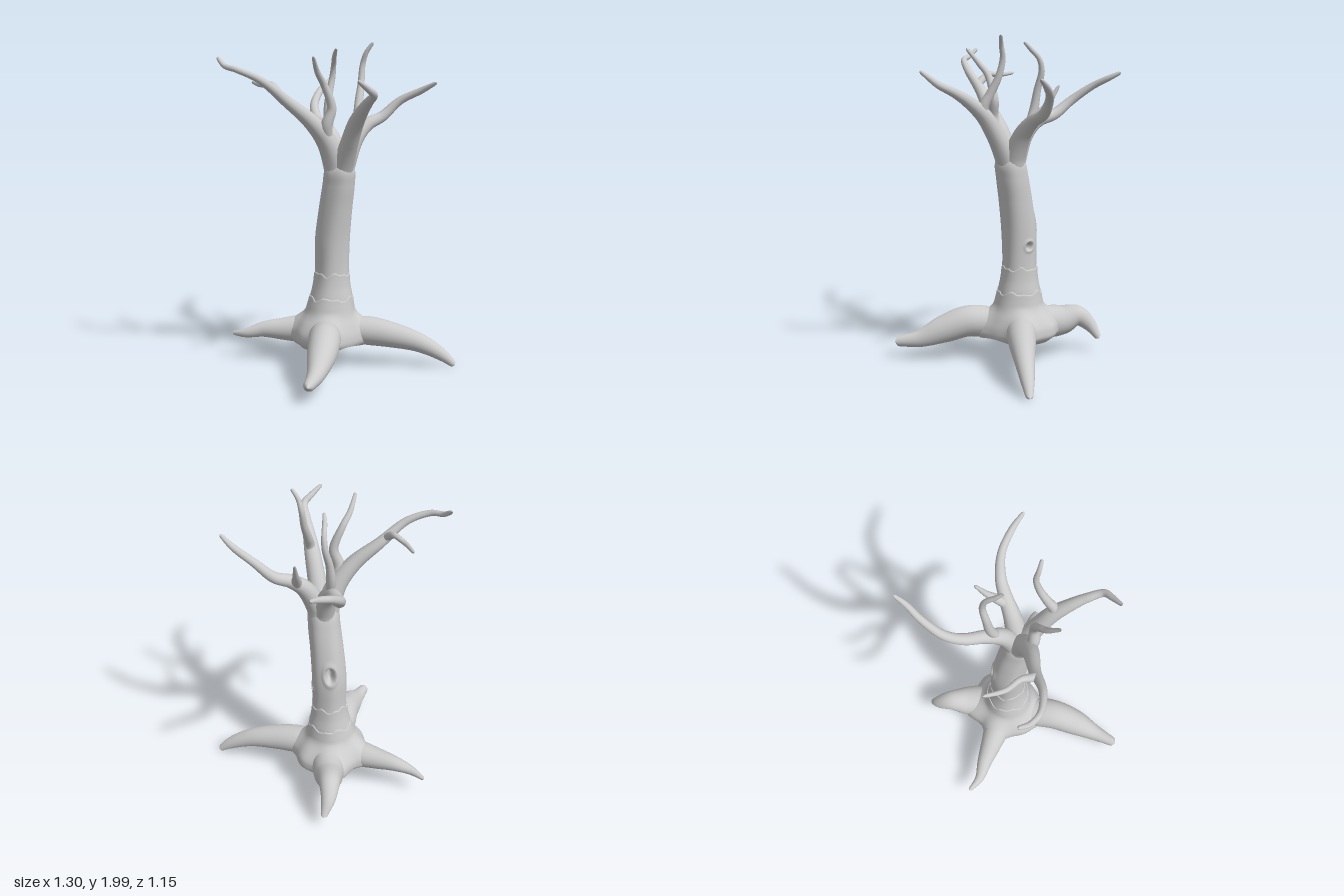
import * as THREE from 'three';

const material = new THREE.MeshStandardMaterial({ color: 0xcccccc, side: THREE.DoubleSide });
const V = (p) => new THREE.Vector3(p[0], p[1], p[2]);
const { smoothstep, clamp } = THREE.MathUtils;

// Trunk stations: height, centre x, centre z, radius
const STATIONS = [
  [0.135, 0.0, -0.03, 0.175], [0.17, 0.0, -0.035, 0.198], [0.22, 0.0, -0.038, 0.2], [0.28, 0.004, -0.038, 0.18],
  [0.34, 0.01, -0.036, 0.152], [0.4, 0.014, -0.035, 0.137], [0.45, 0.018, -0.034, 0.127],
  [0.52, 0.02, -0.034, 0.113], [0.6, 0.022, -0.034, 0.106], [0.8, 0.022, -0.03, 0.107],
  [1.0, 0.025, 0.0, 0.102], [1.15, 0.028, 0.03, 0.098], [1.24, 0.026, 0.045, 0.092], [1.32, 0.024, 0.045, 0.06],
];
const trunkShape = new THREE.CubicInterpolant(
  STATIONS.map((s) => s[0]), new Float32Array(STATIONS.flatMap((s) => s.slice(1))), 3);

const angleBetween = (a, b) => Math.atan2(Math.sin(a - b), Math.cos(a - b));
const bump = (angle, centre, spread) => Math.exp(-((angleBetween(angle, centre) / spread) ** 2));

// Knot holes: angle round the trunk, height, half width, half height
const KNOTS = [[0.1, 0.735, 0.024, 0.028], [-1.31, 0.865, 0.034, 0.06]];

// Sinks each hollow into the bark and raises a soft rim round it
function knotOffset(angle, y, radius) {
  let offset = 0;
  for (const [a, ky, w, h] of KNOTS) {
    const d = Math.hypot((angleBetween(angle, a) * radius) / w, (y - ky) / h);
    offset += 0.006 * Math.exp(-((d - 1.15) ** 2) * 9);
    offset -= 0.045 * (1 - smoothstep(d, 0.45, 1));
  }
  return offset;
}

// Swells the foot of the trunk into the roots and the webs between: angle, reach, spread
const FLARES = [[0.54, 0.08, 0.36], [2.18, 0.08, 0.38], [-2.33, 0.08, 0.34], [-1.2, 0.1, 0.45],
  [-0.3, 0.05, 0.4], [3.0, 0.015, 0.4]];
function rootFlare(angle, y) {
  const rise = (1 - smoothstep(y, 0.23, 0.37)) * (0.5 + 0.5 * smoothstep(y, 0.13, 0.19));
  return rise * FLARES.reduce((sum, [a, reach, spread]) => sum + reach * bump(angle, a, spread), 0);
}

// A length of trunk, open below, between two edges; its top turns inward by the lip
function trunkSection(name, bottomAt, topAt, rows, extra, lip) {
  const sides = 80, pos = [], index = [];
  for (let i = 0; i <= rows + 1; i++) {
    const t = clamp(i / rows, 0, 1);
    for (let j = 0; j < sides; j++) {
      const a = (j / sides) * Math.PI * 2;
      const y = bottomAt(a) + (topAt(a) - bottomAt(a)) * t;
      const [cx, cz, r0] = trunkShape.evaluate(y);
      let r = r0 + extra + knotOffset(a, y, r0) + rootFlare(a, y) + 0.002 * Math.sin(a * 5 + y * 4);
      if (i > rows) r = Math.max(0, r - lip);
      pos.push(cx + r * Math.cos(a), y, cz + r * Math.sin(a));
    }
  }
  for (let i = 0; i < rows + 1; i++) {
    for (let j = 0; j < sides; j++) {
      const k = (j + 1) % sides;
      const a = i * sides + j, b = i * sides + k, c = a + sides, d = b + sides;
      index.push(a, c, b, b, c, d);
    }
  }
  const geometry = new THREE.BufferGeometry();
  geometry.setAttribute('position', new THREE.Float32BufferAttribute(pos, 3));
  geometry.setIndex(index);
  geometry.computeVertexNormals();
  const mesh = new THREE.Mesh(geometry, material);
  mesh.name = name;
  return mesh;
}

// A tapering limb through points [x, y, z, radius], with a rounded tip
function limb(name, points, sides = 16) {
  const curve = new THREE.CatmullRomCurve3(points.map(V));
  const radii = new THREE.SplineCurve(points.map((p, i) => new THREE.Vector2(i, p[3])));
  curve.getPointAt = (t) => curve.getPoint(t);
  curve.getTangentAt = (t) => curve.getTangent(t);
  const segments = points.length * 9;
  const geometry = new THREE.TubeGeometry(curve, segments, 1, sides);
  const pos = geometry.attributes.position, v = new THREE.Vector3();
  for (let i = 0; i <= segments; i++) {
    const t = i / segments, centre = curve.getPoint(t);
    const fromTip = segments - i;
    const r = radii.getPoint(t).y * (fromTip === 0 ? 0 : fromTip === 1 ? 0.85 : 1);
    for (let j = 0; j <= sides; j++) {
      const k = i * (sides + 1) + j;
      v.fromBufferAttribute(pos, k).sub(centre).multiplyScalar(r).add(centre);
      pos.setXYZ(k, v.x, v.y, v.z);
    }
  }
  const mesh = new THREE.Mesh(geometry, material);
  mesh.name = name;
  return mesh;
}

const ROOTS = {
  frontLeftRoot: [[0.12, 0.23, 0.045, 0.07], [0.19, 0.226, 0.095, 0.089], [0.3, 0.207, 0.18, 0.081],
    [0.45, 0.16, 0.29, 0.06], [0.57, 0.085, 0.37, 0.04], [0.643, 0.014, 0.417, 0.021]],
  frontRightRoot: [[-0.08, 0.24, 0.06, 0.07], [-0.12, 0.24, 0.12, 0.095], [-0.18, 0.245, 0.22, 0.096],
    [-0.27, 0.195, 0.34, 0.085], [-0.37, 0.132, 0.45, 0.053], [-0.485, 0.108, 0.558, 0.03]],
  backRightRoot: [[-0.1, 0.22, -0.14, 0.065], [-0.14, 0.217, -0.18, 0.082], [-0.213, 0.21, -0.243, 0.07],
    [-0.312, 0.2, -0.328, 0.049], [-0.4, 0.17, -0.4, 0.029], [-0.45, 0.155, -0.49, 0.013]],
  backLeftRoot: [[0.07, 0.235, -0.14, 0.075], [0.09, 0.228, -0.19, 0.1], [0.125, 0.228, -0.29, 0.094],
    [0.16, 0.245, -0.39, 0.066], [0.195, 0.19, -0.46, 0.046], [0.247, 0.09, -0.508, 0.02]],
};

const BRANCHES = {
  rightBranch: [[0.008, 1.21, 0.04, 0.068], [-0.01, 1.29, 0.045, 0.071], [-0.07, 1.42, 0.05, 0.06],
    [-0.17, 1.54, 0.04, 0.047], [-0.31, 1.66, 0.005, 0.034], [-0.47, 1.785, -0.015, 0.023],
    [-0.59, 1.845, -0.08, 0.018], [-0.63, 1.865, -0.15, 0.016], [-0.642, 1.915, -0.225, 0.012]],
  rightBackTwig: [[-0.34, 1.68, 0.01, 0.02], [-0.352, 1.72, -0.035, 0.024], [-0.355, 1.757, -0.1, 0.018],
    [-0.38, 1.75, -0.19, 0.015], [-0.373, 1.762, -0.318, 0.01]],
  rightFrontTwig: [[-0.06, 1.4, 0.05, 0.035], [-0.087, 1.51, 0.085, 0.036], [-0.06, 1.62, 0.1, 0.028],
    [-0.115, 1.76, 0.1, 0.021], [-0.17, 1.83, 0.125, 0.017], [-0.228, 1.922, 0.178, 0.01]],
  frontBranch: [[0.029, 1.19, 0.052, 0.064], [0.03, 1.25, 0.073, 0.067], [0.03, 1.33, 0.112, 0.062],
    [0.027, 1.41, 0.158, 0.055], [0.02, 1.53, 0.24, 0.048], [0.005, 1.615, 0.34, 0.037],
    [-0.01, 1.67, 0.43, 0.028], [-0.035, 1.715, 0.52, 0.022], [-0.09, 1.75, 0.542, 0.018],
    [-0.165, 1.795, 0.563, 0.011]],
  frontTwig: [[0.02, 1.5, 0.225, 0.022], [0.03, 1.58, 0.25, 0.03], [0.055, 1.66, 0.22, 0.026],
    [0.09, 1.76, 0.185, 0.021], [0.11, 1.87, 0.17, 0.017], [0.122, 1.94, 0.19, 0.014], [0.152, 2.0, 0.218, 0.01]],
  leftBranch: [[0.05, 1.21, 0.042, 0.066], [0.07, 1.29, 0.045, 0.066], [0.145, 1.43, 0.04, 0.052],
    [0.23, 1.505, 0.035, 0.041], [0.33, 1.55, 0.045, 0.033], [0.43, 1.645, 0.09, 0.025],
    [0.52, 1.71, 0.19, 0.02], [0.57, 1.76, 0.28, 0.011]],
  leftTwig: [[0.185, 1.46, 0.04, 0.025], [0.21, 1.52, -0.005, 0.03], [0.237, 1.6, -0.07, 0.019],
    [0.265, 1.71, -0.133, 0.009]],
  backBranch: [[0.033, 1.2, 0.02, 0.063], [0.035, 1.28, 0.002, 0.063], [0.04, 1.41, -0.06, 0.052],
    [0.045, 1.485, -0.16, 0.04], [0.06, 1.52, -0.28, 0.034], [0.095, 1.6, -0.385, 0.028],
    [0.19, 1.69, -0.475, 0.022], [0.28, 1.74, -0.525, 0.018], [0.34, 1.775, -0.572, 0.011]],
  backTwig: [[0.04, 1.43, -0.08, 0.028], [0.045, 1.55, -0.125, 0.028], [0.06, 1.67, -0.14, 0.023],
    [0.09, 1.79, -0.148, 0.019], [0.088, 1.86, -0.13, 0.016], [0.065, 1.92, -0.08, 0.014],
    [0.053, 1.96, -0.04, 0.009]],
};

// Ragged bark edge: a few uneven zigzags round the trunk
const zigzag = (x) => Math.abs(((x % 1) + 1) % 1 - 0.5) * 4 - 1;
const raggedEdge = (y, phase) => (a) => {
  const u = a / (Math.PI * 2);
  return y + 0.011 * zigzag(u * 5 + phase) + 0.008 * zigzag(u * 9 + phase * 2);
};
const levelEdge = (y) => () => y;

// The hollow foot arches up a little at the front
const footEdge = (a) => 0.138 + 0.025 * bump(a, 1.5, 0.6);

export function createModel() {
  const tree = new THREE.Group();
  tree.name = 'bareTree';

  const trunk = new THREE.Group();
  trunk.name = 'trunk';
  trunk.add(
    trunkSection('rootCollar', footEdge, raggedEdge(0.445, 0.2), 32, 0.008, 0.015),
    trunkSection('lowerBark', levelEdge(0.415), raggedEdge(0.595, 0.55), 18, 0.004, 0.01),
    trunkSection('upperTrunk', levelEdge(0.565), levelEdge(1.32), 100, 0, 1),
  );

  const roots = new THREE.Group();
  roots.name = 'roots';
  for (const [name, points] of Object.entries(ROOTS)) roots.add(limb(name, points, 28));

  const branches = new THREE.Group();
  branches.name = 'branches';
  for (const [name, points] of Object.entries(BRANCHES)) branches.add(limb(name, points));

  tree.add(trunk, roots, branches);
  return tree;
}
